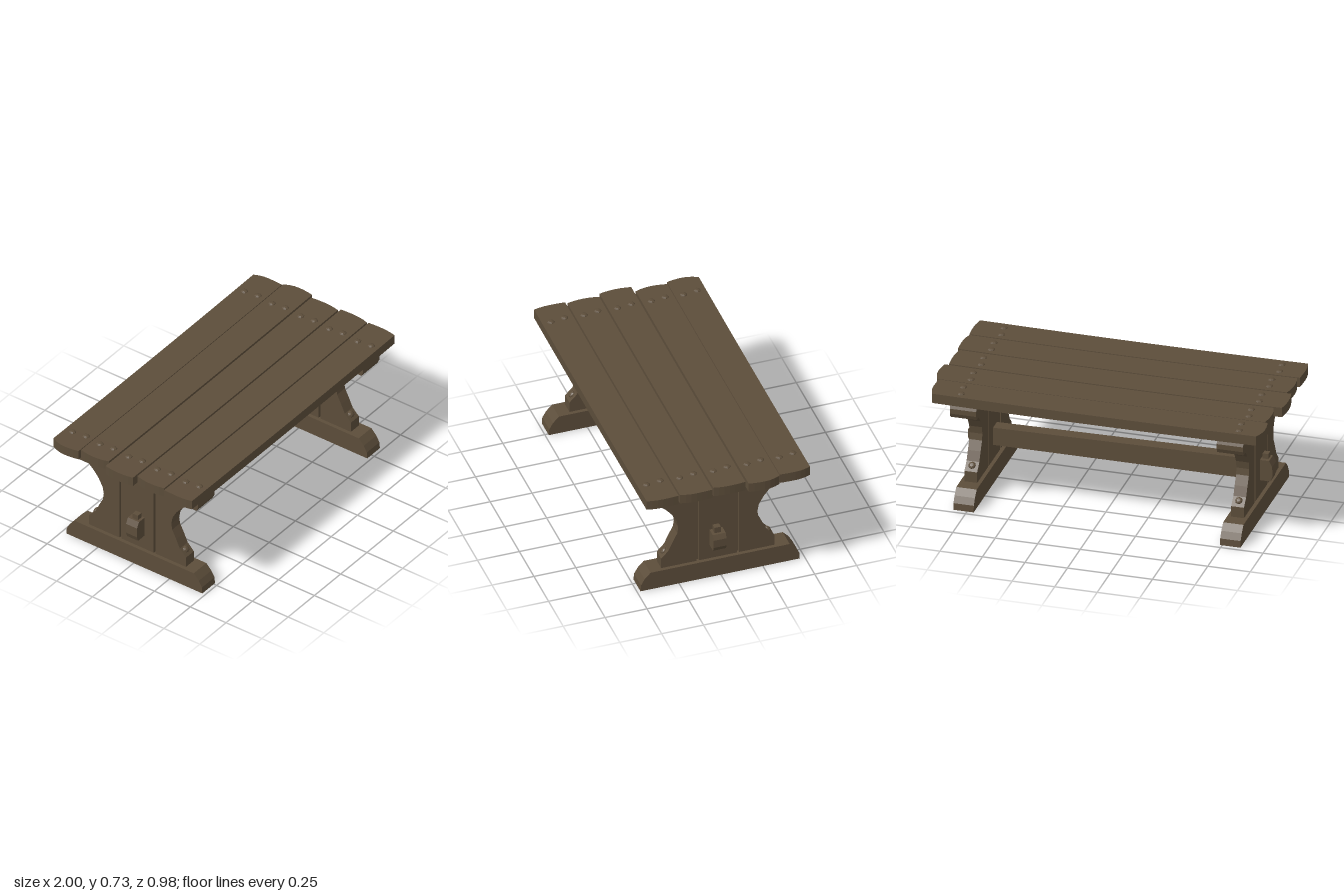
import * as THREE from 'three';

const wood = new THREE.MeshStandardMaterial({ color: 0x5c4d3a });
wood.name = 'dark brown wood';

function add(parent, geometry, name, x = 0, y = 0, z = 0) {
  const flat = geometry.index ? geometry.toNonIndexed() : geometry;
  flat.computeVertexNormals();
  const mesh = new THREE.Mesh(flat, wood);
  mesh.name = name;
  mesh.position.set(x, y, z);
  parent.add(mesh);
  return mesh;
}

function extrude(points, depth) {
  const shape = new THREE.Shape(points.map(([a, b]) => new THREE.Vector2(a, b)));
  return new THREE.ExtrudeGeometry(shape, { depth, bevelEnabled: false }).translate(0, 0, -depth / 2);
}

// Profile given as [z, y], thickness along x
const slab = (points, thickness) => extrude(points, thickness).rotateY(-Math.PI / 2);

// Closes a half profile by mirroring it in z
const mirrored = (half) => [...half, ...half.map(([z, y]) => [-z, y]).reverse()];

const sag = (x) => -0.006 * (1 - x * x);

// Plank with bowed ends; each end is [tip x, inset at back edge, inset at front edge]
function plankGeometry(left, right, width) {
  const g = new THREE.BoxGeometry(2, 0.058, width, 12, 1, 6);
  const p = g.attributes.position;
  for (let i = 0; i < p.count; i++) {
    const t = p.getZ(i) / (width / 2);
    const inset = (end) => (t < 0 ? end[1] : end[2]) * t * t;
    const u = (p.getX(i) + 1) / 2;
    const x = THREE.MathUtils.lerp(left[0] + inset(left), right[0] - inset(right), u);
    p.setXYZ(i, x, p.getY(i) + sag(x), p.getZ(i));
  }
  return g;
}

function stud(parent, name, radius, height, x, y, z) {
  const g = new THREE.SphereGeometry(radius, 8, 3, 0, Math.PI * 2, 0, Math.PI / 2);
  return add(parent, g.scale(1, height / radius, 1), name, x, y, z);
}

export function createModel() {
  const table = new THREE.Group();
  table.name = 'plankTable';

  // Table top: five planks with two studs at each end
  const planks = [
    [-0.397, 0.186, [-0.98, 0.026, 0.012], [0.97, 0.022, 0.004]],
    [-0.205, 0.19, [-0.962, 0.012, 0.018], [1.0, 0.026, 0.01]],
    [-0.004, 0.19, [-1.0, 0.01, 0.012], [0.973, 0.006, 0.012]],
    [0.196, 0.19, [-0.975, 0.015, 0.012], [0.98, 0.004, 0.016]],
    [0.394, 0.188, [-0.98, 0.004, 0.012], [0.972, 0.004, 0.012]],
  ];
  planks.forEach(([z, width, left, right], i) => {
    const plank = new THREE.Group();
    plank.name = `topPlank${i + 1}`;
    table.add(plank);
    add(plank, plankGeometry(left, right, width), 'board', 0, 0.692, z);
    for (const x of [-0.835, 0.8]) {
      for (const s of [-1, 1]) {
        stud(plank, 'stud', 0.023, 0.011, x + s * 0.006, 0.719 + sag(x), z + s * 0.043);
      }
    }
  });

  // Half outline of the waisted leg panel, bottom to top
  const waist = [[0.338, 0.115], [0.338, 0.18], [0.295, 0.225], [0.27, 0.28], [0.242, 0.335],
    [0.236, 0.375], [0.244, 0.42], [0.272, 0.47], [0.305, 0.51], [0.338, 0.54], [0.338, 0.585]];
  const foot = mirrored([[0.475, 0], [0.472, 0.04], [0.45, 0.078], [0.415, 0.115]]);
  const cleat = mirrored([[0.46, 0.58], [0.471, 0.605], [0.471, 0.635], [0.458, 0.662]]);
  const groove = 0.12;

  // Two trestles
  for (const [x, name] of [[-0.798, 'rightTrestle'], [0.771, 'leftTrestle']]) {
    const trestle = new THREE.Group();
    trestle.name = name;
    trestle.position.x = x;
    table.add(trestle);
    add(trestle, slab(foot, 0.12), 'foot', 0, 0, 0.005);
    add(trestle, slab(cleat, 0.155), 'cleat', 0, 0, -0.008);

    // Leg panel of three boards with narrow grooves between them
    add(trestle, new THREE.BoxGeometry(0.075, 0.47, 2 * groove - 0.014), 'middleBoard', 0, 0.35, 0.011);
    for (const s of [-1, 1]) {
      const inner = groove + 0.007;
      let side = [[inner, 0.115], ...waist, [inner, 0.585]].map(([z, y]) => [s * z, y]);
      if (s < 0) side = side.reverse();
      add(trestle, slab(side, 0.075), 'sideBoard', 0, 0, 0.011);
      add(trestle, new THREE.BoxGeometry(0.045, 0.47, 0.02), 'grooveCore', 0, 0.35, 0.011 + s * groove);
      // Peg heads on the curved edges
      for (const [y, dir] of [[0.208, 1], [0.52, -1]]) {
        const peg = stud(trestle, 'pegHead', 0.022, 0.012, 0, y, 0.011 + s * 0.312);
        peg.quaternion.setFromUnitVectors(new THREE.Vector3(0, 1, 0),
          new THREE.Vector3(0, dir, s).normalize());
      }
    }
  }

  // Stretcher running through both trestles, slightly tapered
  const beam = [[-0.898, 0.208], [0.868, 0.208], [0.88, 0.235], [0.88, 0.285], [0.865, 0.314],
    [-0.89, 0.335], [-0.908, 0.3], [-0.91, 0.24]];
  add(table, extrude(beam, 0.077), 'stretcher', 0, 0, 0.022);

  // Wedges locking the stretcher ends
  for (const [x, top] of [[-0.862, 0.366], [0.833, 0.351]]) {
    add(table, new THREE.BoxGeometry(0.034, 0.12, 0.038), 'wedge', x, top - 0.06, 0.026);
  }
  return table;
}
